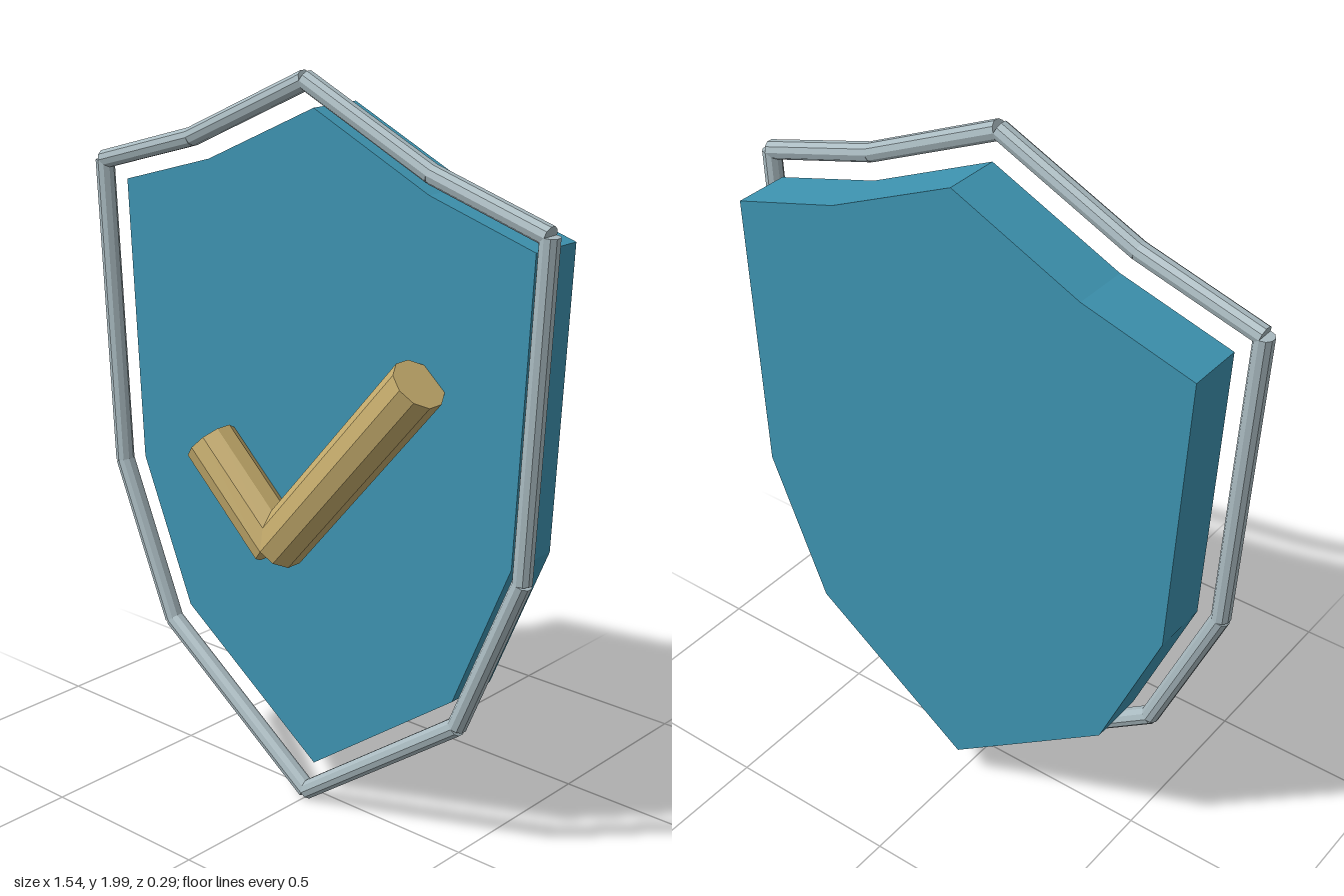
import * as THREE from 'three';

export function createModel() {
  const group = new THREE.Group();
  const material = (name, color) => {
    const m = new THREE.MeshStandardMaterial({ color, flatShading: true });
    m.name = name;
    return m;
  };
  const teal = material('teal', 0x3d93b0);
  const steel = material('steel', 0xa9bac0);
  const gold = material('gold', 0xc4ab6c);

  // Straight round bar between two points in the plane at depth z
  const bar = (name, a, b, z, radius, sides, mat) => {
    const from = new THREE.Vector2(...a), to = new THREE.Vector2(...b);
    const dir = to.clone().sub(from);
    const mesh = new THREE.Mesh(
      new THREE.CylinderGeometry(radius, radius, dir.length(), sides), mat);
    mesh.position.set((a[0] + b[0]) / 2, (a[1] + b[1]) / 2, z);
    mesh.rotation.z = dir.angle() - Math.PI / 2;
    mesh.name = name;
    group.add(mesh);
  };

  // Outline: right half from the top point to the bottom point, then mirrored
  const half = [[0, 1.905], [0.37, 1.735], [0.686, 1.643], [0.647, 0.85], [0.475, 0.44], [0, 0.1]];
  const outline = [...half, ...half.slice(1, -1).reverse().map(([x, y]) => [-x, y])];

  // Shield plate
  const shape = new THREE.Shape(outline.map(([x, y]) => new THREE.Vector2(x, y)));
  const plate = new THREE.Mesh(
    new THREE.ExtrudeGeometry(shape, { depth: 0.16, bevelEnabled: false }), teal);
  plate.position.z = -0.147;
  plate.name = 'shieldPlate';
  group.add(plate);

  // Rim: one bar along every edge of the enlarged outline
  const rim = outline.map(([x, y]) => [x * 1.083, 1.002 + (y - 1.002) * 1.08]);
  rim.forEach((p, i) => bar('rimBar', p, rim[(i + 1) % rim.length], 0.041, 0.026, 10, steel));

  // Check mark of two bars meeting at the low corner
  const corner = [-0.07, 0.747];
  bar('checkShortArm', [-0.32, 0.982], corner, 0.073, 0.074, 10, gold);
  bar('checkLongArm', corner, [0.397, 1.286], 0.073, 0.074, 10, gold);

  return group;
}
